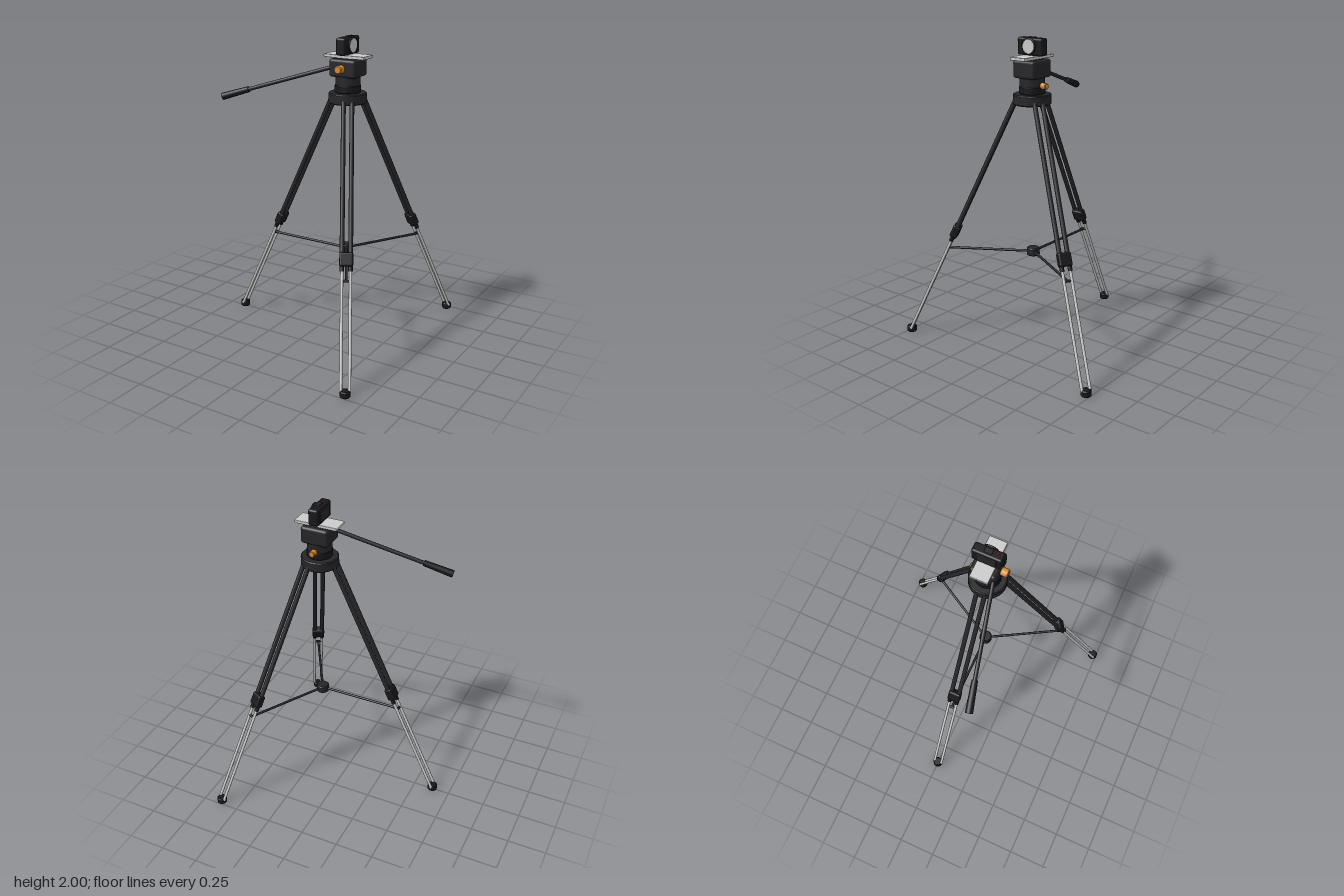
import * as THREE from 'three';
import { RoundedBoxGeometry } from 'three/addons/geometries/RoundedBoxGeometry.js';

const CX = 0.207; // axis of the column
const mat = (color) => new THREE.MeshStandardMaterial({ color });
const V = (x, y, z) => new THREE.Vector3(x, y, z);

export function createModel() {
  const dark = mat(0x26262a), black = mat(0x18181b), grey = mat(0xcccccc);
  const orange = mat(0xd98a2b), red = mat(0xcc2222);
  const model = new THREE.Group();
  model.name = 'tripod';

  function add(parent, name, geometry, material, x = 0, y = 0, z = 0) {
    const mesh = new THREE.Mesh(geometry, material);
    mesh.name = name;
    mesh.position.set(x, y, z);
    parent.add(mesh);
    return mesh;
  }
  // Straight round bar between two points
  function rod(parent, name, a, b, r, material, rEnd = r) {
    const d = b.clone().sub(a);
    const mesh = add(parent, name, new THREE.CylinderGeometry(rEnd, r, d.length(), 20), material);
    mesh.position.copy(a).addScaledVector(d, 0.5);
    mesh.quaternion.setFromUnitVectors(V(0, 1, 0), d.normalize());
    return mesh;
  }
  // Turned disc with small bevels, standing on its base
  function disc(r, h, b = 0.006) {
    const pts = [[0, 0], [r - b, 0], [r - b, 0], [r, b], [r, b], [r, h - b], [r, h - b], [r - b, h], [r - b, h], [0, h]];
    return new THREE.LatheGeometry(pts.map(([x, y]) => new THREE.Vector2(x, y)), 36);
  }

  // Legs: twin tubes in two stages, sloping outward along local +x
  const slope = 0.465, spread = 0.026;
  const onLeg = (y, z) => V(0.837 - (y - 0.03) * slope, y, z);
  for (const angle of [Math.PI, Math.PI / 3, -Math.PI / 3]) {
    const leg = new THREE.Group();
    leg.name = 'leg';
    leg.position.x = CX;
    leg.rotation.y = angle;
    model.add(leg);
    for (const z of [-spread, spread]) {
      rod(leg, 'upperTube', onLeg(0.72, z), onLeg(1.62, z), 0.0145, dark);
      rod(leg, 'lowerTube', onLeg(0.03, z), onLeg(0.76, z), 0.0095, grey);
      rod(leg, 'tubeCollar', onLeg(0.67, z), onLeg(0.72, z), 0.014, black);
    }
    const p = onLeg(0.735, 0);
    const clamp = add(leg, 'legClamp', new RoundedBoxGeometry(0.05, 0.085, 0.084, 3, 0.012), black, p.x, p.y, 0);
    clamp.rotation.z = Math.atan(slope);
    add(leg, 'foot', disc(0.032, 0.042), black, 0.837, 0, 0);
    // Spreader arm and its end bar
    rod(leg, 'spreaderArm', V(0.02, 0.617, 0), V(0.565, 0.617, 0), 0.008, dark);
    rod(leg, 'spreaderBar', V(0.562, 0.617, -spread), V(0.562, 0.617, spread), 0.008, dark);
  }
  add(model, 'spreaderHub', disc(0.042, 0.052), dark, CX, 0.592, 0);

  // Crown and head
  add(model, 'crown', disc(0.12, 0.066), dark, CX, 1.585, 0);
  add(model, 'panBase', disc(0.082, 0.05), black, CX, 1.65, 0);
  add(model, 'panNeck', disc(0.078, 0.07), dark, CX, 1.69, 0);
  add(model, 'headBody', new RoundedBoxGeometry(0.184, 0.112, 0.165, 4, 0.018), dark, CX, 1.806, 0);
  add(model, 'plateSeat', new THREE.BoxGeometry(0.12, 0.014, 0.1), dark, CX, 1.864, 0);
  add(model, 'quickPlate', new RoundedBoxGeometry(0.285, 0.02, 0.116, 2, 0.004), grey, CX, 1.876, 0);

  // Locking knobs, front and back
  const front = add(model, 'tiltKnob', disc(0.026, 0.05, 0.005), orange, CX, 1.805, 0.08);
  front.rotation.x = Math.PI / 2;
  const back = add(model, 'panKnob', disc(0.02, 0.042, 0.004), orange, CX, 1.705, -0.073);
  back.rotation.x = -Math.PI / 2;

  // Pan handle
  const start = V(0.15, 1.815, 0.062), joint = V(-0.41, 1.638, 0.196), tip = V(-0.588, 1.58, 0.24);
  rod(model, 'panHandle', start, joint, 0.0125, dark);
  rod(model, 'handleGrip', joint, tip, 0.019, black, 0.024);

  // Small camera looking along +x
  add(model, 'cameraBody', new RoundedBoxGeometry(0.066, 0.108, 0.19, 4, 0.014), black, CX - 0.004, 1.94, 0);
  const ring = add(model, 'lensRing', new THREE.TorusGeometry(0.047, 0.006, 12, 40), black, CX + 0.033, 1.943, 0);
  ring.rotation.y = Math.PI / 2;
  const lens = add(model, 'lens', disc(0.046, 0.02, 0.003), grey, CX + 0.018, 1.943, 0);
  lens.rotation.z = -Math.PI / 2;
  const screen = new RoundedBoxGeometry(0.008, 0.075, 0.12, 2, 0.003);
  add(model, 'screen', screen, dark, CX - 0.038, 1.94, 0);
  add(model, 'recordButton', disc(0.006, 0.006, 0.001), red, CX + 0.005, 1.993, 0.055);
  add(model, 'topCover', new RoundedBoxGeometry(0.03, 0.008, 0.05, 2, 0.003), dark, CX, 1.995, 0);

  return model;
}
